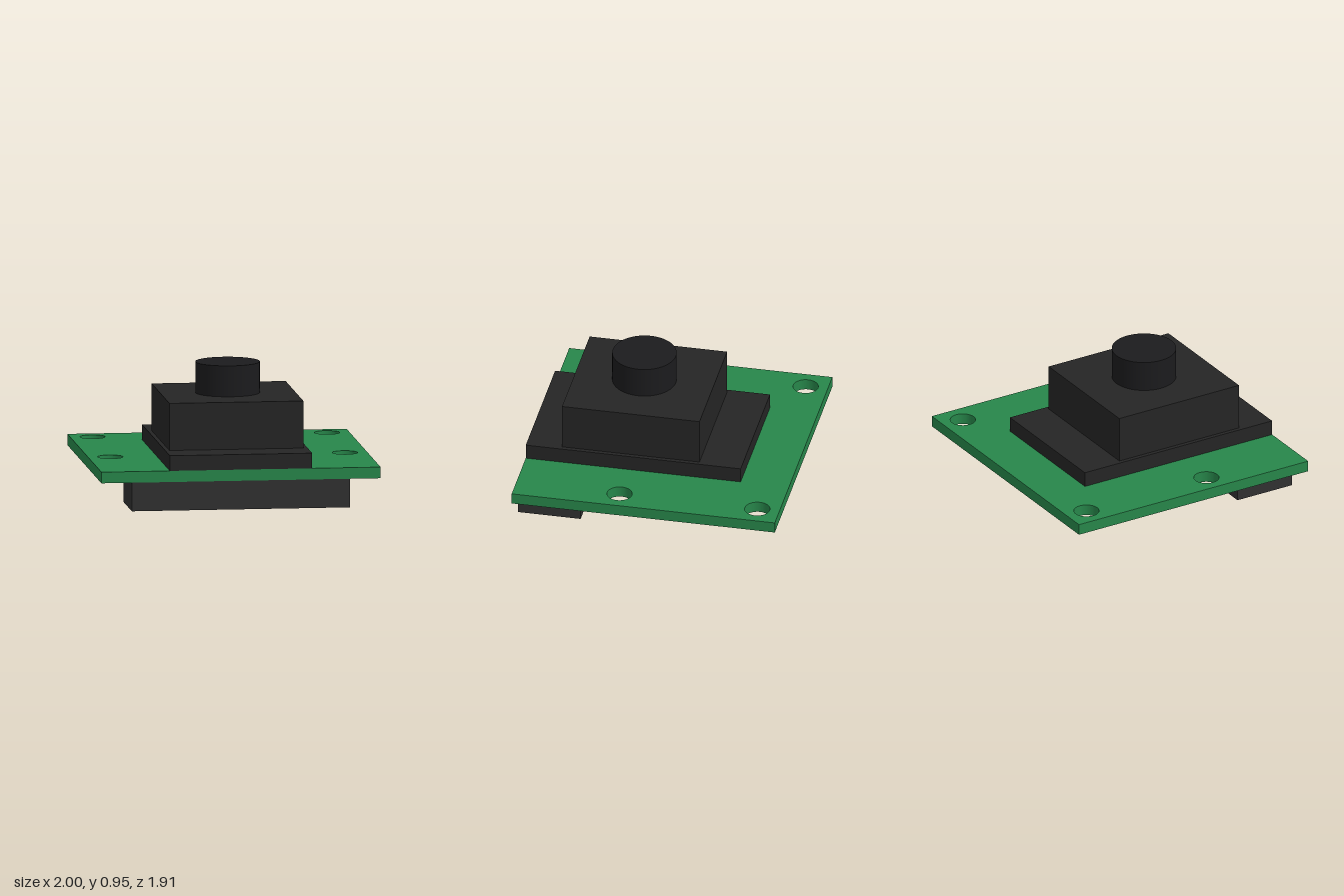
import * as THREE from 'three';

const material = (color) => new THREE.MeshStandardMaterial({ color });

// Box given by its lower and upper corners
function box(name, [x0, y0, z0], [x1, y1, z1], mat) {
  const mesh = new THREE.Mesh(new THREE.BoxGeometry(x1 - x0, y1 - y0, z1 - z0), mat);
  mesh.position.set((x0 + x1) / 2, (y0 + y1) / 2, (z0 + z1) / 2);
  mesh.name = name;
  return mesh;
}

export function createModel() {
  const group = new THREE.Group();
  group.name = 'cameraModule';
  const green = material(0x27864a);
  const black = material(0x252525);
  const darkGrey = material(0x303030);
  const lensBlack = material(0x1b1b1d);

  // Circuit board with four mounting holes, extruded upwards
  const halfDepth = 0.955;
  const outline = new THREE.Shape([
    new THREE.Vector2(-1, -halfDepth),
    new THREE.Vector2(1, -halfDepth),
    new THREE.Vector2(1, halfDepth),
    new THREE.Vector2(-1, halfDepth),
  ]);
  for (const x of [-0.84, 0.84]) {
    for (const z of [-0.795, 0.205]) {
      outline.holes.push(new THREE.Path().absarc(x, -z, 0.09, 0, Math.PI * 2, true));
    }
  }
  const boardGeometry = new THREE.ExtrudeGeometry(outline, {
    depth: 0.08, bevelEnabled: false, curveSegments: 32,
  });
  boardGeometry.rotateX(-Math.PI / 2);
  const board = new THREE.Mesh(boardGeometry, green);
  board.position.y = 0.205;
  board.name = 'circuitBoard';
  group.add(board);

  // Stepped sensor housing on top, cable connector underneath
  group.add(
    box('sensorBase', [-0.51, 0.285, -0.605], [0.51, 0.394, halfDepth], black),
    box('sensorHousing', [-0.48, 0.394, -0.3], [0.48, 0.732, 0.698], black),
    box('cableConnector', [-0.782, 0, 0.5], [0.782, 0.205, halfDepth], darkGrey),
  );

  // Lens barrel
  const lens = new THREE.Mesh(new THREE.CylinderGeometry(0.229, 0.229, 0.222, 64), lensBlack);
  lens.position.set(0, 0.843, 0.2);
  lens.name = 'lensBarrel';
  group.add(lens);

  return group;
}
